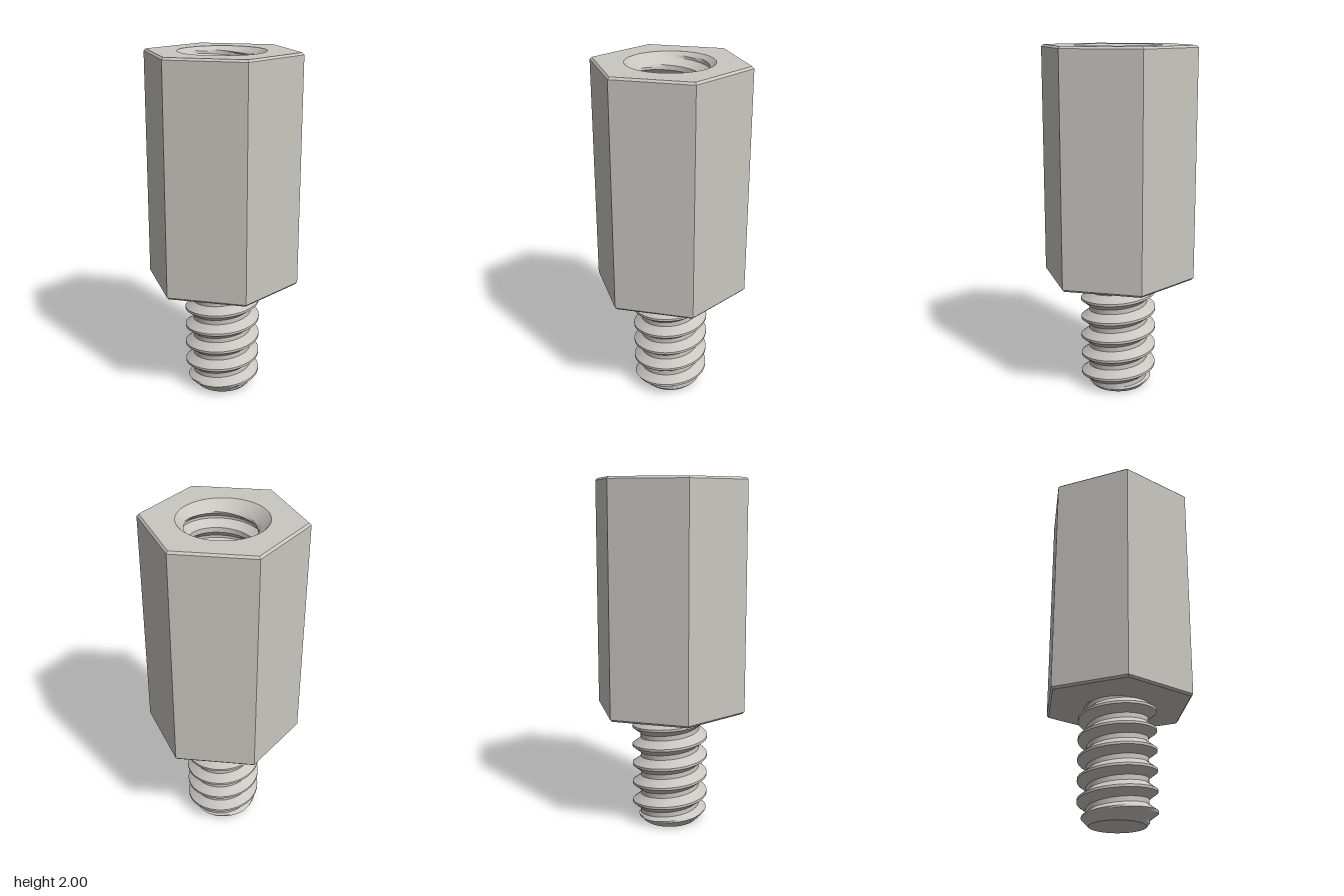
import * as THREE from 'three';
import { toCreasedNormals } from 'three/addons/utils/BufferGeometryUtils.js';

const PITCH = 0.115, SEG = 72;
const CREST_Y = 0.566; // height of a thread crest on the +x side
const BASE = 0.675, TOP = 2, FLOOR = 1.2;
const CHAMFER = 0.012, HEX = 0.447;

// Flat crest, sloped flanks and flat root, repeated along a right-handed helix
function threadRadius(angle, y, root, crest) {
  const p = (y - CREST_Y) / PITCH - angle / (2 * Math.PI);
  const d = Math.abs(p - Math.round(p));
  return THREE.MathUtils.lerp(crest, root, THREE.MathUtils.clamp((d - 0.06) / 0.32, 0, 1));
}

// Helical sheet between two heights; rows follow the crest and root edges
function threadGeometry(y0, y1, radiusAt, inward) {
  const steps = [-0.38, -0.3, -0.22, -0.14, -0.06, 0.06, 0.14, 0.22, 0.3, 0.38, 0.5];
  const rows = [];
  const first = Math.floor((y0 - CREST_Y) / PITCH) - 2;
  const last = Math.ceil((y1 - CREST_Y) / PITCH) + 1;
  for (let k = first; k <= last; k++) for (const s of steps) rows.push(CREST_Y + (k + s) * PITCH);

  const point = (row, i) => {
    const a = (i / SEG) * 2 * Math.PI;
    const y = THREE.MathUtils.clamp(row + (PITCH * i) / SEG, y0, y1);
    const r = radiusAt(a, y);
    return [r * Math.cos(a), y, -r * Math.sin(a)];
  };
  const positions = [];
  const triangle = (a, b, c) => {
    if (a[1] === b[1] && b[1] === c[1]) return; // lies outside the height range
    positions.push(...a, ...(inward ? c : b), ...(inward ? b : c));
  };
  for (let j = 0; j < rows.length - 1; j++) {
    for (let i = 0; i < SEG; i++) {
      const a = point(rows[j], i), b = point(rows[j], i + 1);
      const c = point(rows[j + 1], i + 1), d = point(rows[j + 1], i);
      triangle(a, b, c);
      triangle(a, c, d);
    }
  }
  const g = new THREE.BufferGeometry();
  g.setAttribute('position', new THREE.Float32BufferAttribute(positions, 3));
  g.computeVertexNormals();
  return toCreasedNormals(g, 0.45);
}

export function createModel() {
  const group = new THREE.Group();
  const metal = new THREE.MeshStandardMaterial({ color: 0xc9c7c1 });
  metal.name = 'light grey metal';
  const add = (name, geometry) => {
    const mesh = new THREE.Mesh(geometry, metal);
    mesh.name = name;
    group.add(mesh);
    return mesh;
  };

  // Hexagonal body: underside, walls and chamfers
  const profile = [
    [0, BASE], [HEX - CHAMFER, BASE], [HEX, BASE + CHAMFER],
    [HEX, TOP - CHAMFER], [HEX - CHAMFER, TOP],
  ].map(([r, y]) => new THREE.Vector2(r, y));
  add('hexBody', toCreasedNormals(new THREE.LatheGeometry(profile, 6, Math.PI / 2), 0.2));

  // Top face with the round opening
  const face = new THREE.Shape();
  for (let i = 0; i < 6; i++) {
    const a = (i * Math.PI) / 3, r = HEX - CHAMFER;
    face[i ? 'lineTo' : 'moveTo'](r * Math.cos(a), r * Math.sin(a));
  }
  face.closePath();
  face.holes.push(new THREE.Path().absarc(0, 0, 0.245, 0, Math.PI * 2, true));
  add('topFace', new THREE.ShapeGeometry(face, SEG).rotateX(-Math.PI / 2).translate(0, TOP, 0));

  // Threaded socket with a countersunk mouth
  add('socketThread', threadGeometry(FLOOR, TOP,
    (a, y) => Math.max(threadRadius(a, y, 0.182, 0.222), 0.245 - (TOP - y)), true));
  add('socketFloor', new THREE.CircleGeometry(0.222, SEG).rotateX(-Math.PI / 2).translate(0, FLOOR, 0));

  // Threaded stud with a bevelled tip
  add('studThread', threadGeometry(0, BASE + 0.003,
    (a, y) => Math.min(threadRadius(a, y, 0.172, 0.22), 0.155 + y), false));
  add('studTip', new THREE.CircleGeometry(0.155, SEG).rotateX(Math.PI / 2));

  return group;
}
